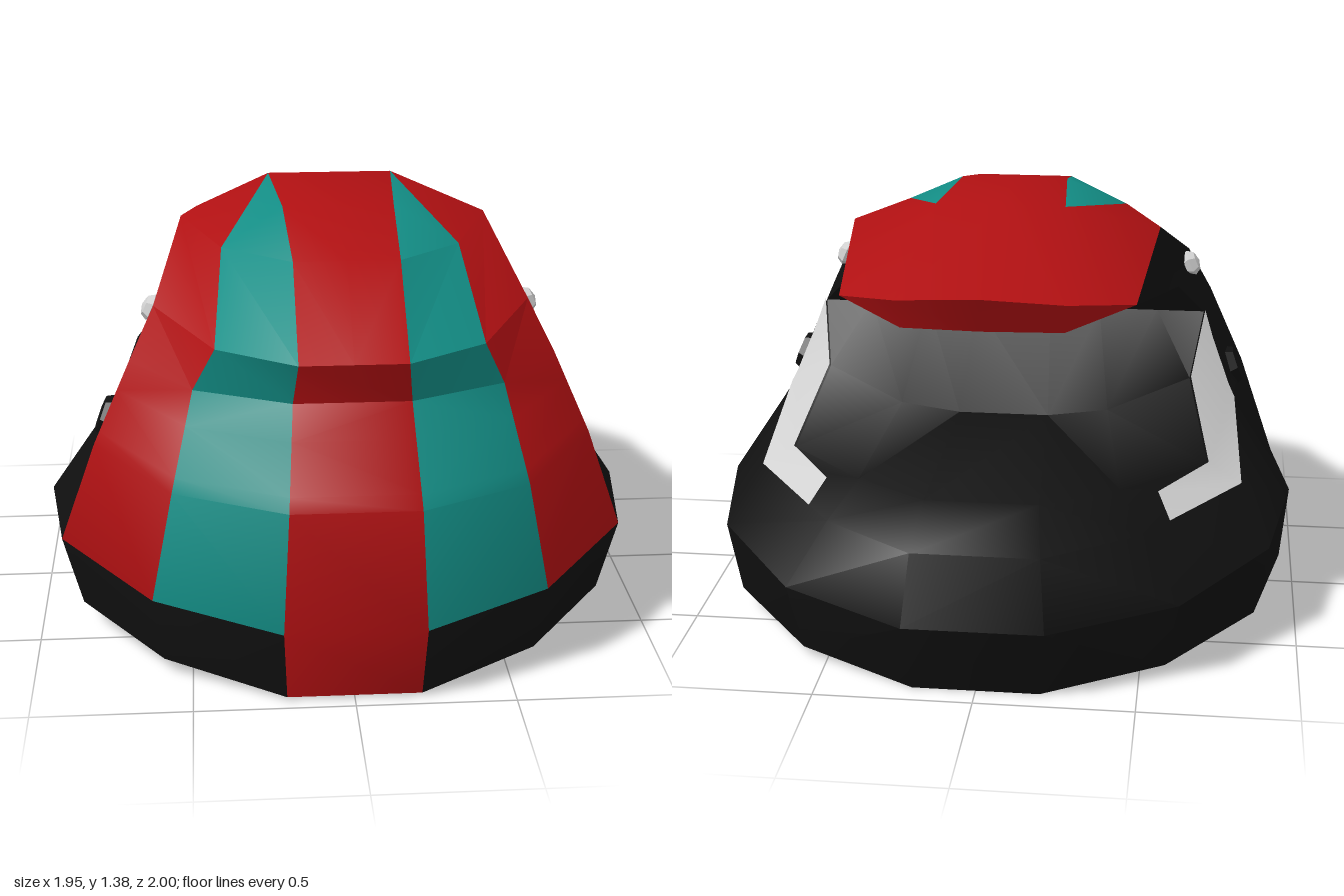
import * as THREE from 'three';
import { toCreasedNormals } from 'three/addons/utils/BufferGeometryUtils.js';

const mat = (name, color) => {
  const m = new THREE.MeshStandardMaterial({ color });
  m.name = name;
  return m;
};
const lerp = (a, b, t) => a.map((v, i) => v + (b[i] - v) * t);
const mirror = ([x, y, z]) => [-x, y, z];
const centre = ([, y, z]) => [0, y, z];

// Collects polygons per colour and builds one creased geometry with groups
class Skin {
  constructor(count) { this.lists = Array.from({ length: count }, () => []); }
  face(colour, ...p) {
    for (let i = 1; i < p.length - 1; i++) this.lists[colour].push(...p[0], ...p[i], ...p[i + 1]);
  }
  both(colour, ...p) {
    this.face(colour, ...p);
    const m = p.map(mirror);
    this.face(colour, m[0], ...m.slice(1).reverse());
  }
  build(angle) {
    const g = new THREE.BufferGeometry();
    g.setAttribute('position', new THREE.Float32BufferAttribute(this.lists.flat(), 3));
    let start = 0;
    this.lists.forEach((l, i) => {
      if (l.length) g.addGroup(start, l.length / 3, i);
      start += l.length / 3;
    });
    return toCreasedNormals(g, angle);
  }
}

export function createModel() {
  const group = new THREE.Group();
  const red = mat('red', 0xb01012), teal = mat('teal', 0x138e86);
  const black = mat('black', 0x101010), light = mat('lightGrey', 0xd0d0d0);
  const RED = 0, TEAL = 1, BLACK = 2;

  // Half rings on the +x side, running from the +z middle round to the -z middle
  const rim = [[.21, .01, .95], [.59, .05, .75], [.86, .09, .41], [.95, .1, 0], [.86, .07, -.41], [.58, .03, -.74], [.2, 0, -.92]];
  const belt = [[.22, .25, 1], [.62, .28, .8], [.92, .33, .43], [.975, .34, .02], [.9, .31, -.43], [.62, .26, -.79], [.22, .24, -1]];
  const waist = [[.2, .64, .98], [.55, .64, .8], [.8, .67, .45], [.77, .65, .07], [.8, .47, -.28], [.5, .455, -.7], [.2, .46, -.93]];
  const notch = [[.18, .93, .82], [.48, .93, .68], [.68, .94, .43], [.66, .93, .16], [.5, .93, .16], [.3, .93, .16], [.13, .93, .16]];
  const brow = [[.165, 1.07, .88], [.41, 1.08, .74], [.6, 1.1, .36], [.57, 1.03, .11], [.4, 1.03, .11], [.28, 1.03, .11], [.17, 1.03, .11]];
  const between = (t, rest) => [0, 1, 2].map(i => lerp(waist[i], notch[i], t)).concat(rest);
  const chinA = between(.15, [[.75, .69, .08], [.69, .54, -.28], [.42, .55, -.57], [.18, .565, -.76]]);
  const chinB = between(.65, [[.69, .84, .13], [.62, .74, 0], [.35, .66, -.13], [.15, .64, -.15]]);
  const rings = [rim, belt, waist, chinA, chinB, notch, brow]
    .map(r => [...r, ...r.map(mirror).reverse()]);

  // Lower shell: 14 columns, coloured by column
  const skin = new Skin(3);
  const columnColour = (row, k) => {
    if (k === 13) return RED;
    if (row === 0) return BLACK;
    return k === 0 || k === 12 ? TEAL : k === 1 || k === 11 ? RED : BLACK;
  };
  for (let row = 0; row < rings.length - 1; row++) {
    const lo = rings[row], hi = rings[row + 1];
    for (let k = 0; k < 14; k++) {
      const n = (k + 1) % 14, c = columnColour(row, k);
      // the diagonal is mirrored on the -x half
      if (row === 4 ? k < 7 : k >= 7) skin.face(c, lo[n], hi[n], hi[k], lo[k]);
      else skin.face(c, lo[k], lo[n], hi[n], hi[k]);
    }
  }

  // Arched base
  for (let i = 0; i < 6; i++) skin.both(BLACK, rim[i], centre(rim[i]), centre(rim[i + 1]), rim[i + 1]);

  // Crown and peak
  const [A4, B4, C4, D4, E4, F4, G4] = brow;
  const A5 = [.165, 1.3, .58], B5 = [.38, 1.27, .3], C5 = [.51, 1.28, -.06];
  const A6 = [.18, 1.375, .2], A7 = [.21, 1.38, -.23];
  const side = [.46, 1.17, -.6], tip = [.26, 1.21, -.77], nose = [0, 1.235, -.82];
  const lip = [.25, 1.11, -.72], lipMid = [0, 1.115, -.75];
  skin.both(TEAL, A4, B4, B5, A5);
  skin.both(TEAL, A5, B5, A6);
  skin.both(TEAL, A6, B5, A7);
  skin.both(RED, B4, C4, C5, B5);
  skin.both(RED, B5, C5, A7);
  skin.both(RED, C5, side, A7);
  skin.both(RED, A7, side, tip);
  [[A4, A5], [A5, A6], [A6, A7]].forEach(([a, b]) => skin.both(RED, centre(a), a, b, centre(b)));
  skin.both(RED, centre(A7), A7, tip, nose);
  skin.both(RED, side, lip, tip);
  skin.both(RED, tip, lip, lipMid, nose);

  // Flanks and underside of the peak
  skin.both(BLACK, C4, D4, C5);
  skin.both(BLACK, D4, side, C5);
  skin.both(BLACK, D4, lip, side);
  [[D4, E4], [E4, F4], [F4, G4]].forEach(([a, b]) => skin.both(BLACK, a, b, lip));
  skin.both(RED, G4, centre(G4), lipMid, lip);

  const shell = new THREE.Mesh(skin.build(0.6), [red, teal, black]);
  shell.name = 'helmetShell';
  group.add(shell);

  // Light trim strips hugging the edge of the face opening
  const trim = new Skin(1);
  const lift = ([x, y, z]) => [x + .005, y + .006, z - .003];
  const patch = (...p) => trim.both(0, ...p.map(lift));
  const endLow = lerp(waist[4], waist[5], .75);
  const endHigh = lerp(endLow, lerp(chinA[4], chinA[5], .65), .7);
  patch(waist[3], waist[4], chinA[4], chinA[3]);
  patch(chinA[3], chinA[4], chinB[4], chinB[3]);
  patch(chinB[3], chinB[4], notch[3]);
  patch(waist[4], endLow, endHigh, chinA[4]);
  const strips = new THREE.Mesh(trim.build(0.6), [light]);
  strips.name = 'trimStrips';
  group.add(strips);

  // Peak bolts and side knobs
  for (const s of [1, -1]) {
    const bolt = new THREE.Mesh(toCreasedNormals(new THREE.SphereGeometry(.046, 6, 4), 0.5), light);
    bolt.name = s > 0 ? 'leftBolt' : 'rightBolt';
    bolt.scale.y = .65;
    bolt.position.set(s * .61, 1.07, .28);
    bolt.rotation.z = -s * 1.15;
    const knob = new THREE.Mesh(toCreasedNormals(new THREE.CylinderGeometry(.06, .085, .05, 6), 0.5), black);
    knob.name = s > 0 ? 'leftKnob' : 'rightKnob';
    knob.position.set(s * .762, .7, .28);
    knob.rotation.z = -s * 1.19;
    group.add(bolt, knob);
  }
  return group;
}
